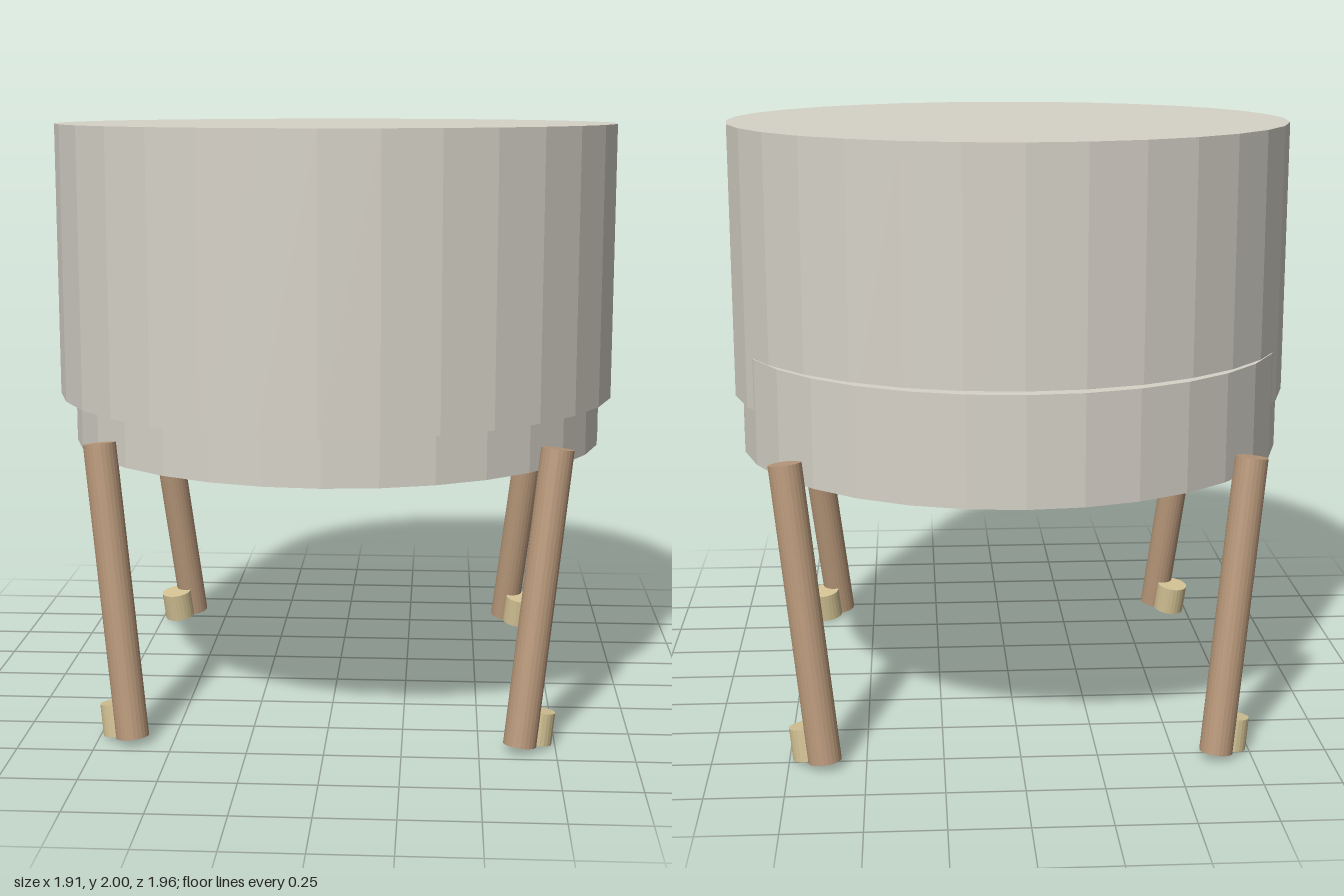
import * as THREE from 'three';

const mat = (color) => new THREE.MeshStandardMaterial({ color, flatShading: true });

// Straight cylinder whose end centres are the two given points
function rod(name, bottom, top, radius, sides, material) {
  const axis = top.clone().sub(bottom);
  const mesh = new THREE.Mesh(
    new THREE.CylinderGeometry(radius, radius, axis.length(), sides), material);
  mesh.position.copy(bottom).add(top).multiplyScalar(0.5);
  mesh.quaternion.setFromUnitVectors(new THREE.Vector3(0, 1, 0), axis.normalize());
  mesh.name = name;
  return mesh;
}

export function createModel() {
  const model = new THREE.Group();
  model.name = 'drumOnLegs';
  const drumMat = mat(0xd6d2c8);
  const legMat = mat(0xb8987a);
  const footMat = mat(0xd3c294);
  const baseZ = -0.057;
  const v = (x, y, z) => new THREE.Vector3(x, y, z);

  // Upper drum, set slightly forward, and the lower base drum
  model.add(rod('upperDrum', v(0, 1.085, 0.026), v(0, 2, 0.026), 0.957, 32, drumMat));
  model.add(rod('baseDrum', v(0, 0.905, baseZ), v(0, 1.26, baseZ), 0.922, 32, drumMat));

  // Four slanted legs, each with a small foot beside its lower end
  for (const sx of [-1, 1]) {
    for (const sz of [-1, 1]) {
      const at = (x, y, z) => v(sx * x, y, baseZ + sz * z);
      const leg = new THREE.Group();
      leg.name = (sz > 0 ? 'front' : 'back') + (sx > 0 ? 'Left' : 'Right') + 'Leg';
      leg.add(rod('legPole', at(0.633, 0.019, 0.727), at(0.743, 0.977, 0.611), 0.054, 24, legMat));
      leg.add(rod('foot', at(0.682, 0.009, 0.672), at(0.694, 0.113, 0.659), 0.057, 24, footMat));
      model.add(leg);
    }
  }
  return model;
}
